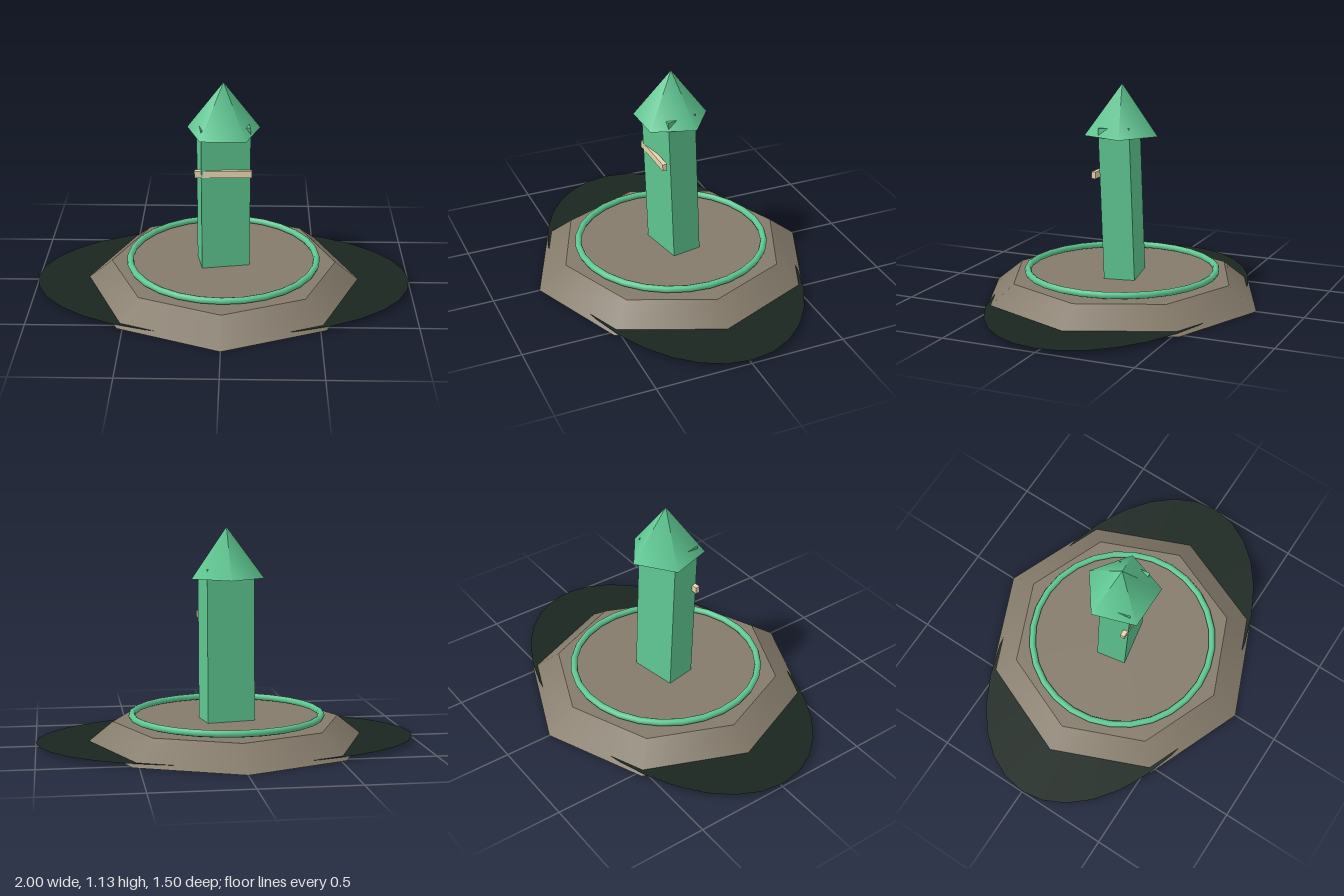
import * as THREE from 'three';

const paint = (color, extra = {}) => {
  const m = new THREE.MeshStandardMaterial(extra);
  m.color.set(color);
  return m;
};

export function createModel() {
  const group = new THREE.Group();
  const green = paint(0x5fc792);
  const stone = paint(0x857b6b);
  const dark = paint(0x1a2620, { side: THREE.DoubleSide });
  const cream = paint(0xe8d5ae);

  const add = (name, geometry, material, x, y, z) => {
    const mesh = new THREE.Mesh(geometry, material);
    mesh.name = name;
    mesh.position.set(x, y, z);
    group.add(mesh);
    return mesh;
  };

  // Flat oval lying just above the ground, passing through the plinth
  const oval = add('groundOval', new THREE.CircleGeometry(1, 32), dark, 0, 0.02, 0);
  oval.rotation.x = -Math.PI / 2;
  oval.scale.y = 0.625;

  // Tapered eight-sided plinth
  add('plinth', new THREE.CylinderGeometry(0.6, 0.75, 0.12, 8), stone, 0, 0.06, 0);

  // Ring hovering over the plinth
  const ring = add('ring', new THREE.TorusGeometry(0.5, 0.018, 8, 28), green, 0, 0.145, 0);
  ring.rotation.x = Math.PI / 2;

  // Tower block, turned a little and leaning forward; its top corners pierce the roof
  const tower = add('tower', new THREE.BoxGeometry(0.257, 0.8, 0.163), green, 0, 0.515, 0);
  tower.rotation.set(0.04, 0.18, 0);

  // Five-sided pointed roof with one corner at the back
  const roof = add('roof', new THREE.ConeGeometry(0.2, 0.265, 5), green, 0, 0.9995, 0);
  roof.rotation.y = Math.PI;

  // Straight band across the front, partly sunk into the tower
  add('band', new THREE.BoxGeometry(0.296, 0.036, 0.024), cream, 0, 0.668, 0.096);

  return group;
}
